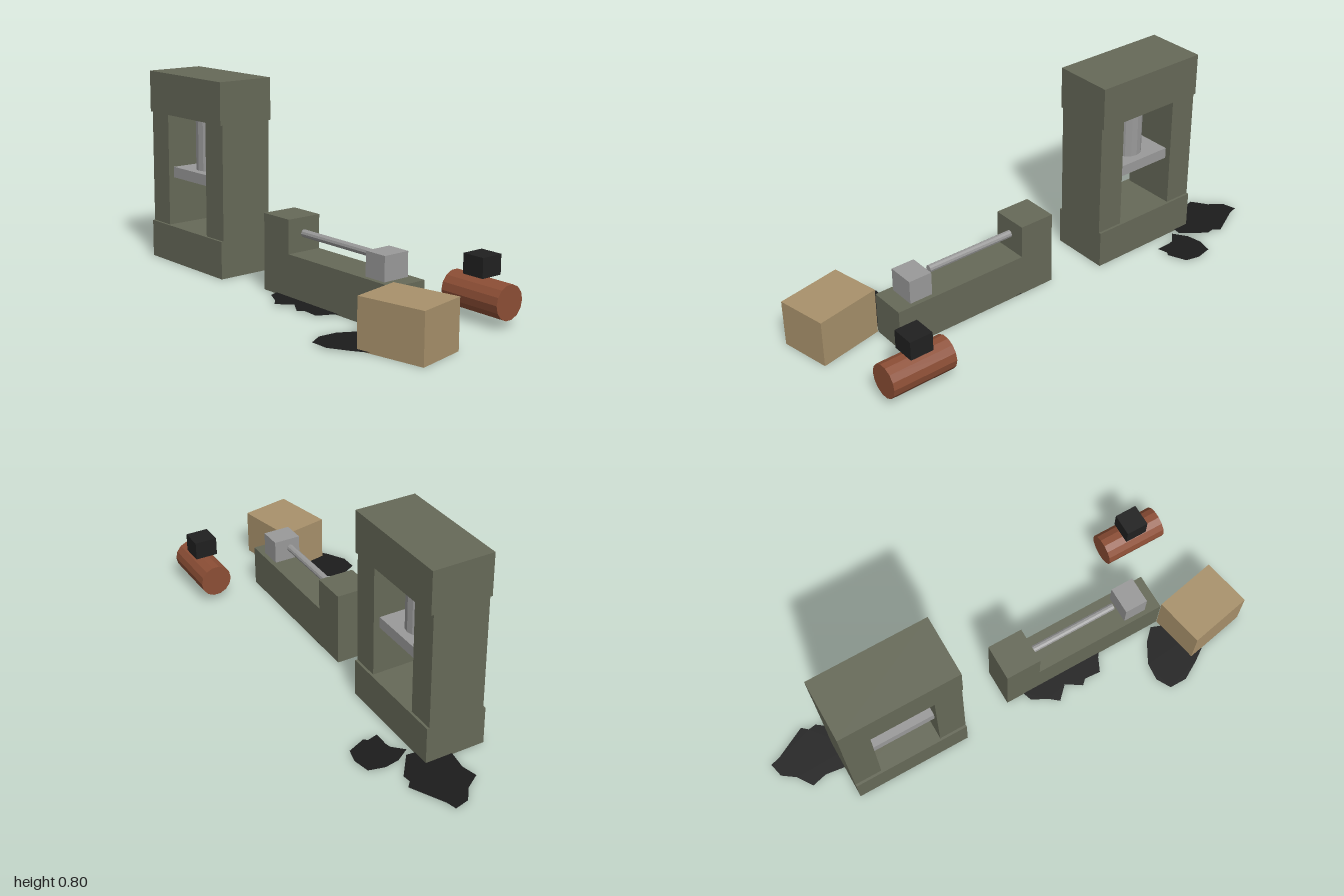
import * as THREE from 'three';

export function createModel() {
  const model = new THREE.Group();
  model.name = 'workshop';

  const mat = (name, color) => {
    const m = new THREE.MeshStandardMaterial({ color, flatShading: true });
    m.name = name;
    return m;
  };
  const olive = mat('olive paint', 0x666958);
  const steel = mat('steel', 0x999999);
  const wood = mat('crate wood', 0xa8916b);
  const rust = mat('rust', 0x8c4e35);
  const black = mat('black', 0x202020);
  const oil = mat('oil', 0x1c1c1c);
  oil.side = THREE.DoubleSide;

  const group = (name) => {
    const g = new THREE.Group();
    g.name = name;
    model.add(g);
    return g;
  };
  const add = (parent, name, geometry, material, x = 0, y = 0, z = 0) => {
    const mesh = new THREE.Mesh(geometry, material);
    mesh.name = name;
    mesh.position.set(x, y, z);
    parent.add(mesh);
    return mesh;
  };
  // Box given by its x and y limits, its depth and its middle z
  const box = (parent, name, material, x0, x1, y0, y1, depth, z = 0) =>
    add(parent, name, new THREE.BoxGeometry(x1 - x0, y1 - y0, depth), material,
      (x0 + x1) / 2, (y0 + y1) / 2, z);

  // Hydraulic press: frame, ram and platen
  const press = group('press');
  box(press, 'pressBase', olive, -0.745, -0.25, 0, 0.155, 0.25);
  box(press, 'pressCrown', olive, -0.745, -0.25, 0.625, 0.797, 0.25);
  for (const side of [-1, 1]) {
    const x = -0.4975 + side * 0.19;
    box(press, side < 0 ? 'rightColumn' : 'leftColumn', olive, x - 0.0575, x + 0.0575, 0.155, 0.625, 0.23);
  }
  add(press, 'ram', new THREE.CylinderGeometry(0.057, 0.057, 0.23, 14), steel, -0.4975, 0.515, 0);
  box(press, 'platen', steel, -0.63, -0.365, 0.355, 0.4, 0.18);

  // Lathe: bed, headstock, spindle bar and tailstock
  const lathe = group('lathe');
  box(lathe, 'bed', olive, -0.035, 0.69, 0, 0.172, 0.152);
  box(lathe, 'headstock', olive, -0.035, 0.115, 0.172, 0.307, 0.152);
  box(lathe, 'tailstock', steel, 0.527, 0.625, 0.172, 0.268, 0.114);
  const bar = add(lathe, 'spindleBar', new THREE.CylinderGeometry(0.015, 0.015, 0.385, 10), steel, 0.3075, 0.243, 0);
  bar.rotation.z = Math.PI / 2;

  // Motor lying on its side with a box above it
  const motor = group('motor');
  const body = add(motor, 'motorBody', new THREE.CylinderGeometry(0.067, 0.067, 0.268, 14), rust, 0.768, 0.097, -0.288);
  body.rotation.z = Math.PI / 2;
  box(motor, 'motorBox', black, 0.72, 0.815, 0.173, 0.25, 0.095, -0.288);

  // Turned crate
  const crate = box(model, 'crate', wood, 0.71, 0.98, 0, 0.192, 0.211, 0.153);
  crate.rotation.y = 0.2;

  // Oil stains: flat outlines as [x, z] points
  const stains = [
    [[-1, -0.17], [-0.96, -0.18], [-0.825, -0.25], [-0.8, -0.228], [-0.767, -0.233], [-0.67, -0.16],
      [-0.68, -0.08], [-0.745, -0.013], [-0.826, -0.024], [-0.89, -0.008], [-0.933, -0.072], [-0.986, -0.11]],
    [[-0.676, -0.324], [-0.607, -0.338], [-0.548, -0.324], [-0.516, -0.249], [-0.527, -0.233], [-0.516, -0.19],
      [-0.58, -0.19], [-0.602, -0.185], [-0.644, -0.142], [-0.682, -0.2], [-0.692, -0.26]],
    [[0.04, 0.07], [0.056, 0.115], [0.12, 0.147], [0.158, 0.179], [0.211, 0.126], [0.275, 0.168],
      [0.297, 0.147], [0.366, 0.152], [0.393, 0.094], [0.41, 0.07], [0.36, -0.02], [0.24, -0.06],
      [0.122, -0.08], [0.08, -0.01]],
    [[0.655, 0.088], [0.607, 0.136], [0.559, 0.222], [0.553, 0.297], [0.586, 0.356], [0.66, 0.356],
      [0.735, 0.313], [0.79, 0.275], [0.79, 0.2], [0.74, 0.12]],
  ];
  const stainGroup = group('oilStains');
  for (const points of stains) {
    const shape = new THREE.Shape(points.map(([x, z]) => new THREE.Vector2(x, -z)));
    const stain = add(stainGroup, 'oilStain', new THREE.ShapeGeometry(shape), oil, 0, 0.005, 0);
    stain.rotation.x = -Math.PI / 2;
  }

  return model;
}
